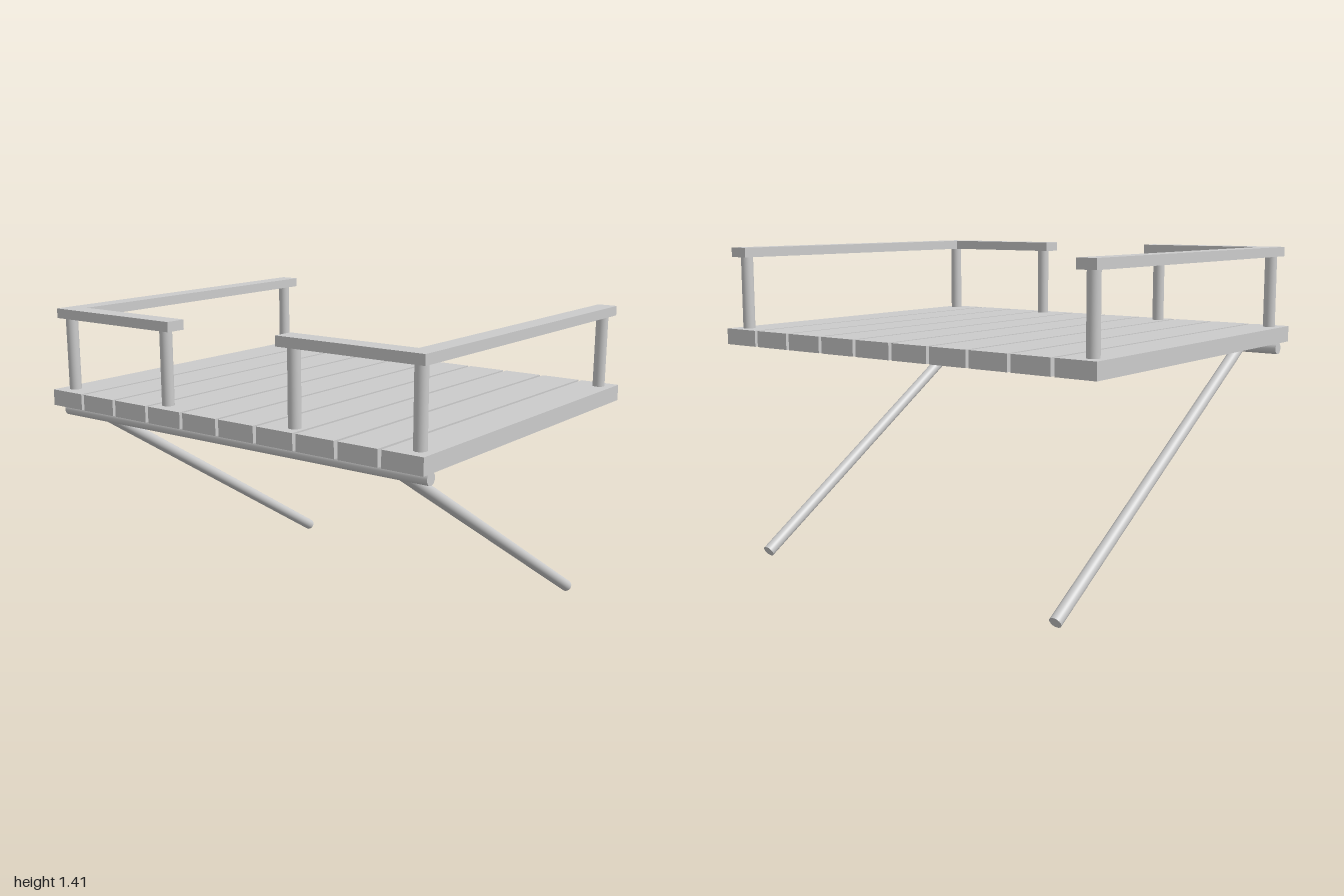
import * as THREE from 'three';

const material = new THREE.MeshStandardMaterial({ color: 0xcccccc });

function add(parent, name, geometry, x = 0, y = 0, z = 0) {
  const mesh = new THREE.Mesh(geometry, material);
  mesh.name = name;
  mesh.position.set(x, y, z);
  parent.add(mesh);
  return mesh;
}

// Round bar running between two points
function addRod(parent, name, a, b, radius) {
  const from = new THREE.Vector3(...a);
  const dir = new THREE.Vector3(...b).sub(from);
  const mesh = add(parent, name, new THREE.CylinderGeometry(radius, radius, dir.length(), 32));
  mesh.position.copy(from).addScaledVector(dir, 0.5);
  mesh.quaternion.setFromUnitVectors(new THREE.Vector3(0, 1, 0), dir.normalize());
  return mesh;
}

// L-shaped handrail cap; outline in (x, -z), extruded upwards
function railGeometry(side) {
  const outline = [[0.29, 0.79], [0.98, 0.79], [0.98, -0.796], [0.89, -0.796], [0.89, 0.695], [0.29, 0.695]];
  const shape = new THREE.Shape(outline.map(([x, z]) => new THREE.Vector2(side * x, -z)));
  const geometry = new THREE.ExtrudeGeometry(shape, { depth: 0.043, bevelEnabled: false });
  return geometry.rotateX(-Math.PI / 2);
}

export function createModel() {
  const model = new THREE.Group();
  model.name = 'balconyDeck';

  // Deck planks, running front to back
  const count = 10, width = 0.185;
  const plank = new THREE.BoxGeometry(width, 0.072, 1.64);
  for (let i = 0; i < count; i++) {
    const x = -1 + width / 2 + (i * (2 - width)) / (count - 1);
    add(model, 'plank', plank, x, 1.011, 0);
  }

  // Cross beam under the front edge
  addRod(model, 'crossBeam', [-0.985, 0.948, 0.746], [0.985, 0.948, 0.746], 0.027);

  for (const side of [1, -1]) {
    const name = side > 0 ? 'left' : 'right';

    // Diagonal strut down to the back
    addRod(model, name + 'Strut', [side * 0.805, 0.947, 0.71], [side * 0.805, 0.0235, -0.79], 0.027);

    // Railing: three posts and an L-shaped cap
    const railing = new THREE.Group();
    railing.name = name + 'Railing';
    model.add(railing);
    for (const [x, z] of [[0.347, 0.745], [0.936, 0.745], [0.936, -0.746]]) {
      addRod(railing, 'post', [side * x, 1.04, z], [side * x, 1.375, z], 0.027);
    }
    add(railing, 'handrail', railGeometry(side), 0, 1.37, 0);
  }
  return model;
}
